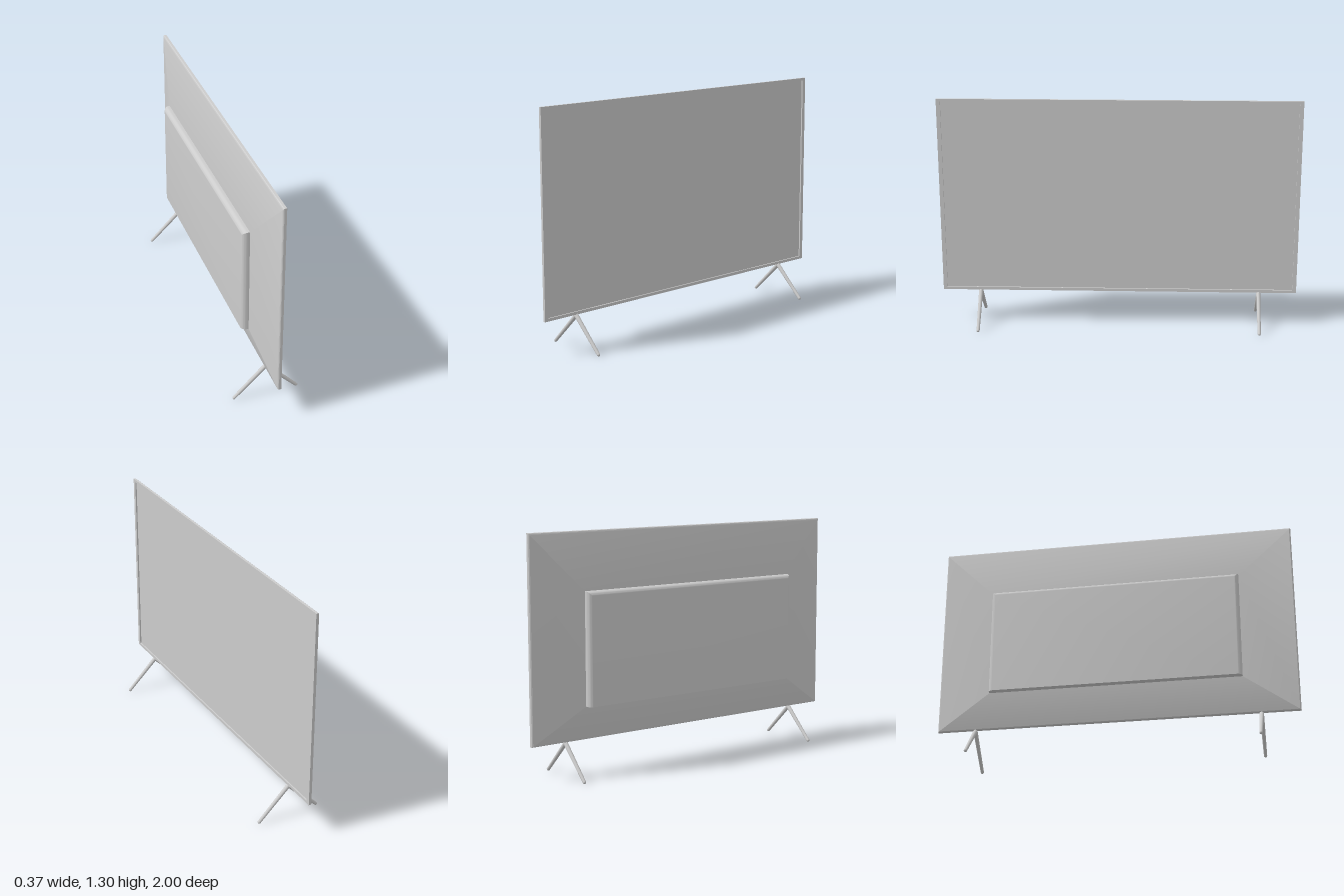
import * as THREE from 'three';
import { toCreasedNormals } from 'three/addons/utils/BufferGeometryUtils.js';

const material = new THREE.MeshStandardMaterial({ color: 0xcccccc });

function addMesh(parent, name, geometry) {
  const mesh = new THREE.Mesh(geometry, material);
  mesh.name = name;
  parent.add(mesh);
  return mesh;
}

// Lofts rectangles [x, y0, y1, halfZ] from front to back and closes the back.
function loftRects(rings, crease) {
  const corners = rings.map(([x, y0, y1, z]) => [[x, y0, z], [x, y0, -z], [x, y1, -z], [x, y1, z]]);
  const pos = [];
  const tri = (a, b, c) => pos.push(...a, ...b, ...c);
  for (let i = 0; i < corners.length - 1; i++) {
    const f = corners[i], b = corners[i + 1];
    for (let k = 0; k < 4; k++) {
      const n = (k + 1) % 4;
      tri(f[k], b[k], f[n]);
      tri(f[n], b[k], b[n]);
    }
  }
  const e = corners[corners.length - 1];
  tri(e[0], e[3], e[2]);
  tri(e[0], e[2], e[1]);
  const geometry = new THREE.BufferGeometry();
  geometry.setAttribute('position', new THREE.Float32BufferAttribute(pos, 3));
  return toCreasedNormals(geometry, crease);
}

// Tapered leg hanging down from the origin, with rounded ends.
function legGeometry(length, rTop, rFoot) {
  const pts = [];
  const steps = 5;
  for (let i = 0; i <= steps; i++) {
    const a = (i / steps) * Math.PI / 2;
    pts.push(new THREE.Vector2(rFoot * Math.sin(a), -length - rFoot * Math.cos(a)));
  }
  for (let i = 0; i <= steps; i++) {
    const a = (i / steps) * Math.PI / 2;
    pts.push(new THREE.Vector2(rTop * Math.cos(a), rTop * Math.sin(a)));
  }
  return new THREE.LatheGeometry(pts, 20);
}

export function createModel() {
  const model = new THREE.Group();
  model.name = 'television';

  // Bezel with recessed inner lip, thin edge and sloping back cover
  addMesh(model, 'housing', loftRects([
    [-0.004, 0.206, 1.285, 0.978],
    [0.005, 0.206, 1.285, 0.978],
    [0.005, 0.19, 1.3, 1],
    [-0.008, 0.19, 1.3, 1],
    [-0.012, 0.191, 1.297, 0.998],
    [-0.015, 0.194, 1.29, 0.993],
    [-0.07, 0.38, 0.99, 0.7],
  ], 0.3));

  // Display panel set behind the bezel
  const screen = addMesh(model, 'screen', new THREE.BoxGeometry(0.006, 1.081, 1.958));
  screen.position.set(-0.006, 0.7455, 0);

  // Electronics box: rounded top and side edges, square bottom edge
  const r = 0.027;
  const rings = [[-0.068, 0.38, 0.99, 0.7]];
  for (let i = 0; i <= 8; i++) {
    const a = (i / 8) * Math.PI / 2;
    const inset = r * (1 - Math.cos(a));
    rings.push([-0.108 + r - r * Math.sin(a), 0.38, 0.99 - inset, 0.7 - inset]);
  }
  addMesh(model, 'electronicsBox', loftRects(rings, 0.5));

  // Two splayed stands, each an upside-down V
  const leg = legGeometry(0.249, 0.012, 0.009);
  for (const [side, z] of [['right', -0.788], ['left', 0.788]]) {
    const stand = new THREE.Group();
    stand.name = side + 'Stand';
    stand.position.set(-0.003, 0.185, z);
    addMesh(stand, 'frontLeg', leg).rotation.z = Math.PI / 4;
    addMesh(stand, 'rearLeg', leg).rotation.z = -Math.PI / 4;
    model.add(stand);
  }
  return model;
}
